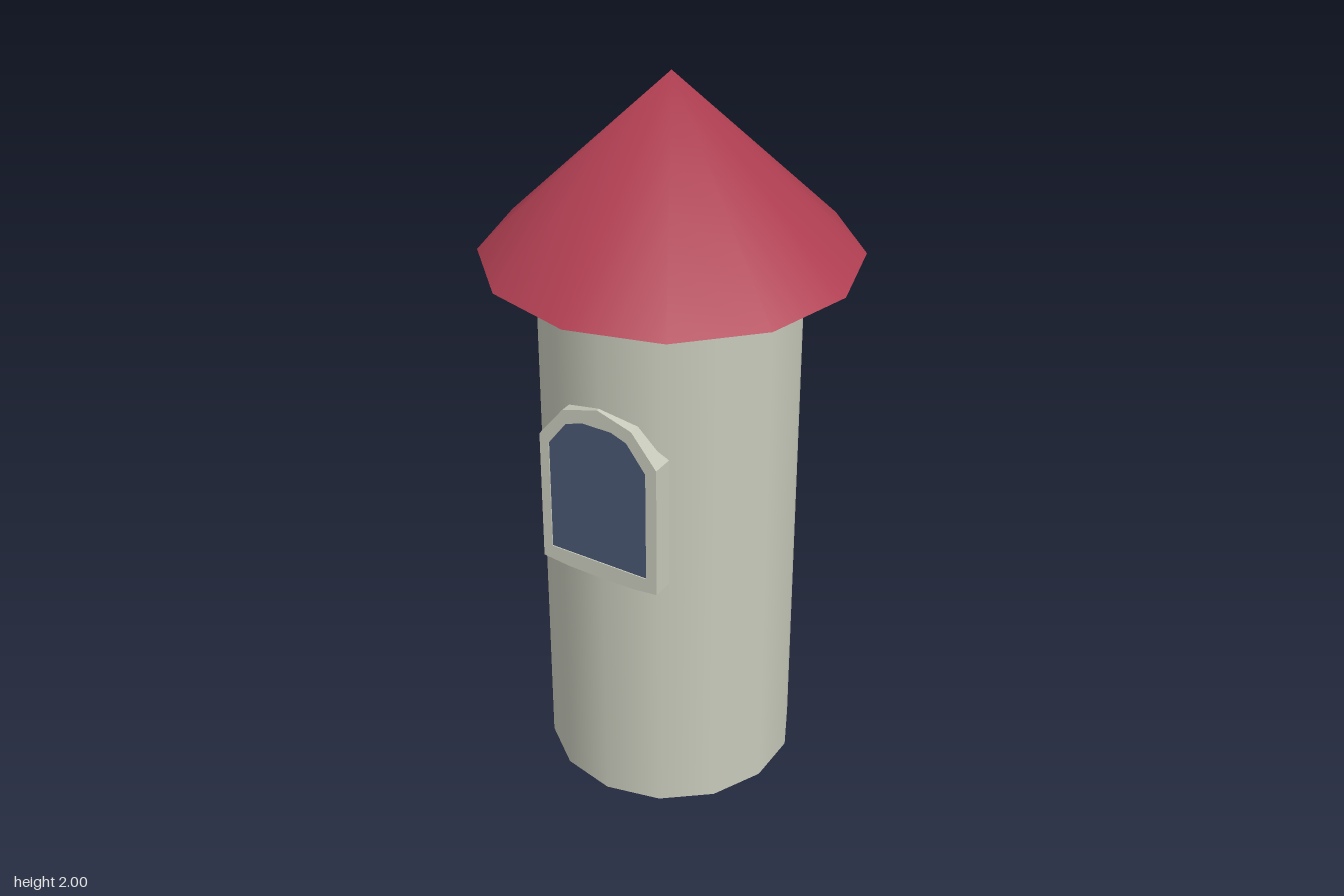
import * as THREE from 'three';
import { mergeVertices } from 'three/addons/utils/BufferGeometryUtils.js';

const stone = new THREE.MeshStandardMaterial({ name: 'pale stone', color: 0xc8cabb });
const tile = new THREE.MeshStandardMaterial({ name: 'red roof', color: 0xb03f52 });
const glass = new THREE.MeshStandardMaterial({ name: 'blue glass', color: 0x4a5875 });

function add(parent, name, geometry, material, y = 0, z = 0) {
  const mesh = new THREE.Mesh(geometry, material);
  mesh.name = name;
  mesh.position.set(0, y, z);
  parent.add(mesh);
  return mesh;
}

const points = (list) => list.map(([x, y]) => new THREE.Vector2(x, y));

export function createModel() {
  const model = new THREE.Group();
  model.name = 'tower';

  // Round wall with fourteen sides
  add(model, 'wall', new THREE.CylinderGeometry(0.345, 0.345, 1.52, 14), stone, 0.76);

  // Roof cone: shared tip vertex gives a soft, rounded shading
  let cone = new THREE.ConeGeometry(0.492, 0.48, 12, 1, true);
  cone.deleteAttribute('uv');
  cone.deleteAttribute('normal');
  cone = mergeVertices(cone);
  cone.computeVertexNormals();
  add(model, 'roof', cone, tile, 1.76);

  // Flat underside of the eaves
  const eaves = new THREE.CircleGeometry(0.492, 12).rotateX(Math.PI / 2);
  add(model, 'eaves', eaves, tile, 1.52);

  // Arched window, set into the front of the wall
  const frameOutline = points([
    [-0.177, 0.735], [-0.1, 0.727], [0, 0.725], [0.1, 0.727], [0.172, 0.735],
    [0.172, 1.11], [0.1, 1.2], [0, 1.232], [-0.105, 1.2], [-0.177, 1.11],
  ]);
  const paneOutline = points([
    [-0.15, 0.773], [0.14, 0.773], [0.14, 1.09], [0.085, 1.163],
    [0.04, 1.18], [-0.045, 1.18], [-0.095, 1.163], [-0.15, 1.09],
  ]);
  const windowGroup = new THREE.Group();
  windowGroup.name = 'window';
  model.add(windowGroup);

  const frameShape = new THREE.Shape(frameOutline);
  frameShape.holes.push(new THREE.Path(paneOutline));
  const frame = new THREE.ExtrudeGeometry(frameShape, { depth: 0.074, bevelEnabled: false });
  add(windowGroup, 'windowFrame', frame, stone, 0, 0.28);

  const pane = new THREE.ExtrudeGeometry(new THREE.Shape(paneOutline), { depth: 0.008, bevelEnabled: false });
  add(windowGroup, 'windowPane', pane, glass, 0, 0.343);

  return model;
}
